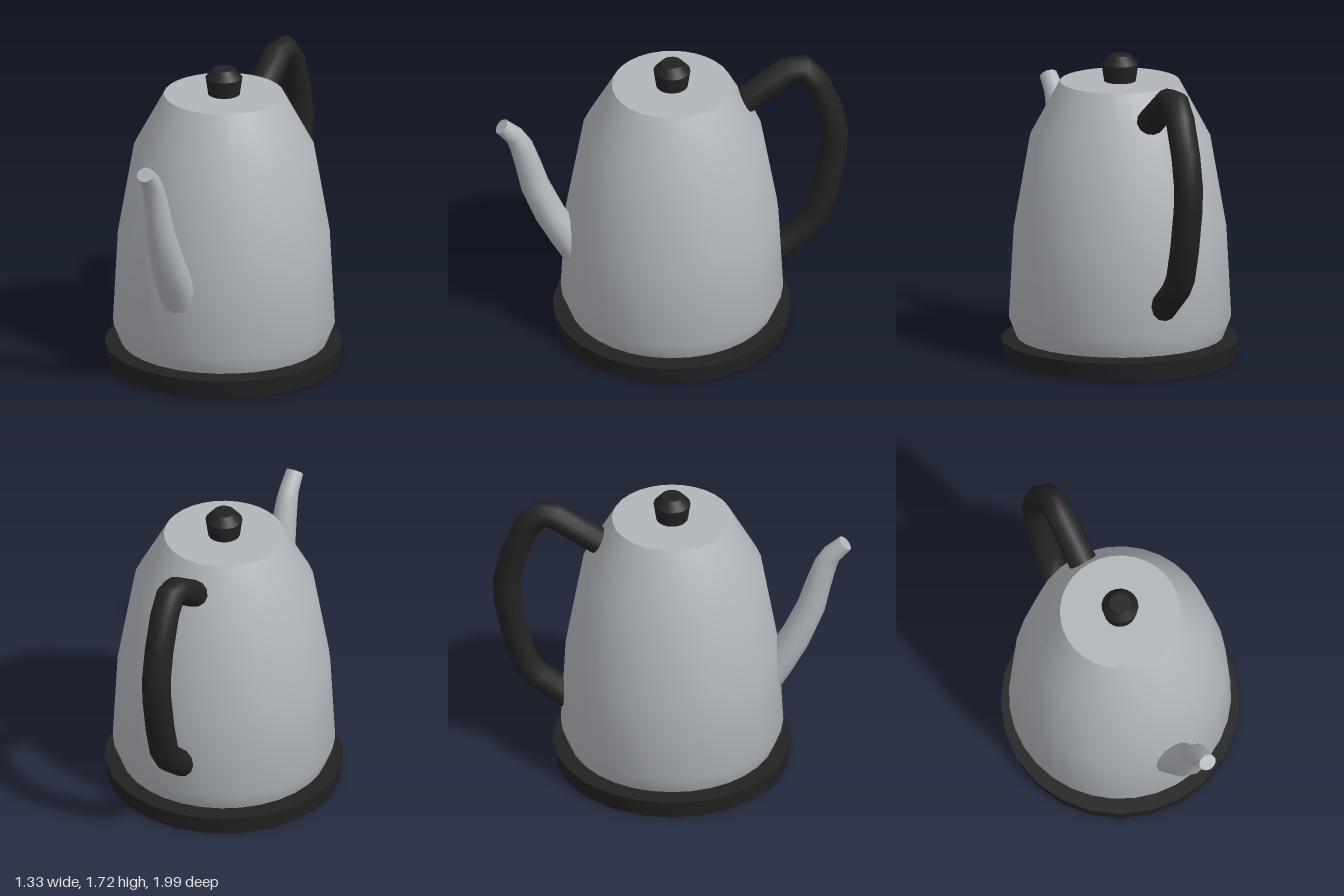
import * as THREE from 'three';
import { toCreasedNormals } from 'three/addons/utils/BufferGeometryUtils.js';

const steel = new THREE.MeshStandardMaterial({ color: 0xb2b6bb });
steel.name = 'brushed steel';
const black = new THREE.MeshStandardMaterial({ color: 0x222222 });
black.name = 'black plastic';

function part(name, geometry, material, crease) {
  const mesh = new THREE.Mesh(toCreasedNormals(geometry, crease), material);
  mesh.name = name;
  return mesh;
}

// Turned solid from [radius, y] pairs, bottom to top
function turned(profile, sides) {
  return new THREE.LatheGeometry(profile.map(([r, y]) => new THREE.Vector2(r, y)), sides);
}

// Capped tube along the x = 0 plane; rings are [z, y, half width in x, half depth]
function sweep(rings, sides) {
  const pos = [], index = [];
  rings.forEach(([z, y, rx, rn], i) => {
    const p = rings[Math.max(i - 1, 0)], q = rings[Math.min(i + 1, rings.length - 1)];
    const len = Math.hypot(q[0] - p[0], q[1] - p[1]);
    const tz = (q[0] - p[0]) / len, ty = (q[1] - p[1]) / len;
    for (let j = 0; j < sides; j++) {
      const a = (j / sides) * Math.PI * 2, n = rn * Math.sin(a);
      pos.push(rx * Math.cos(a), y + tz * n, z - ty * n);
    }
  });
  const last = (rings.length - 1) * sides, start = rings.length * sides, end = start + 1;
  for (const [z, y] of [rings[0], rings[rings.length - 1]]) pos.push(0, y, z);
  for (let j = 0; j < sides; j++) {
    const k = (j + 1) % sides;
    for (let o = 0; o < last; o += sides) {
      index.push(o + j, o + k, o + sides + k, o + j, o + sides + k, o + sides + j);
    }
    index.push(start, k, j, end, last + j, last + k);
  }
  const geometry = new THREE.BufferGeometry();
  geometry.setAttribute('position', new THREE.Float32BufferAttribute(pos, 3));
  geometry.setIndex(index);
  return geometry;
}

export function createModel() {
  const kettle = new THREE.Group();
  kettle.name = 'kettle';

  // Power base, slightly separated from the body
  kettle.add(part('base', turned([[0, 0], [0.65, 0], [0.665, 0.105], [0, 0.105]], 24), black, 0.8));

  // Body with a flat top
  kettle.add(part('body', turned([
    [0, 0.12], [0.577, 0.12], [0.62, 0.23], [0.593, 0.74],
    [0.503, 1.26], [0.335, 1.572], [0, 1.572],
  ], 32), steel, 0.8));

  // Lid knob
  kettle.add(part('lidKnob', turned([
    [0, 1.56], [0.087, 1.56], [0.103, 1.67], [0.06, 1.72], [0, 1.72],
  ], 20), black, 0.8));

  // Curved tapering spout, rooted inside the body
  kettle.add(part('spout', sweep([
    [0.5, 0.46, 0.112, 0.09], [0.6, 0.63, 0.11, 0.09], [0.69, 0.79, 0.1, 0.087],
    [0.775, 0.99, 0.08, 0.081], [0.815, 1.14, 0.07, 0.072], [0.855, 1.27, 0.061, 0.065],
    [0.89, 1.335, 0.055, 0.056], [0.965, 1.408, 0.05, 0.046],
  ], 12), steel, 1.2));

  // Looped handle, both ends rooted in the body
  const handlePath = [
    [-0.36, 1.385], [-0.41, 1.42], [-0.66, 1.59], [-0.735, 1.595], [-0.81, 1.51],
    [-0.885, 1.32], [-0.922, 1.15], [-0.916, 1.02], [-0.87, 0.79],
    [-0.815, 0.61], [-0.755, 0.53], [-0.6, 0.41], [-0.54, 0.365],
  ];
  kettle.add(part('handle', sweep(handlePath.map(([z, y]) => [z, y, 0.082, 0.076]), 12), black, 1.25));

  return kettle;
}
